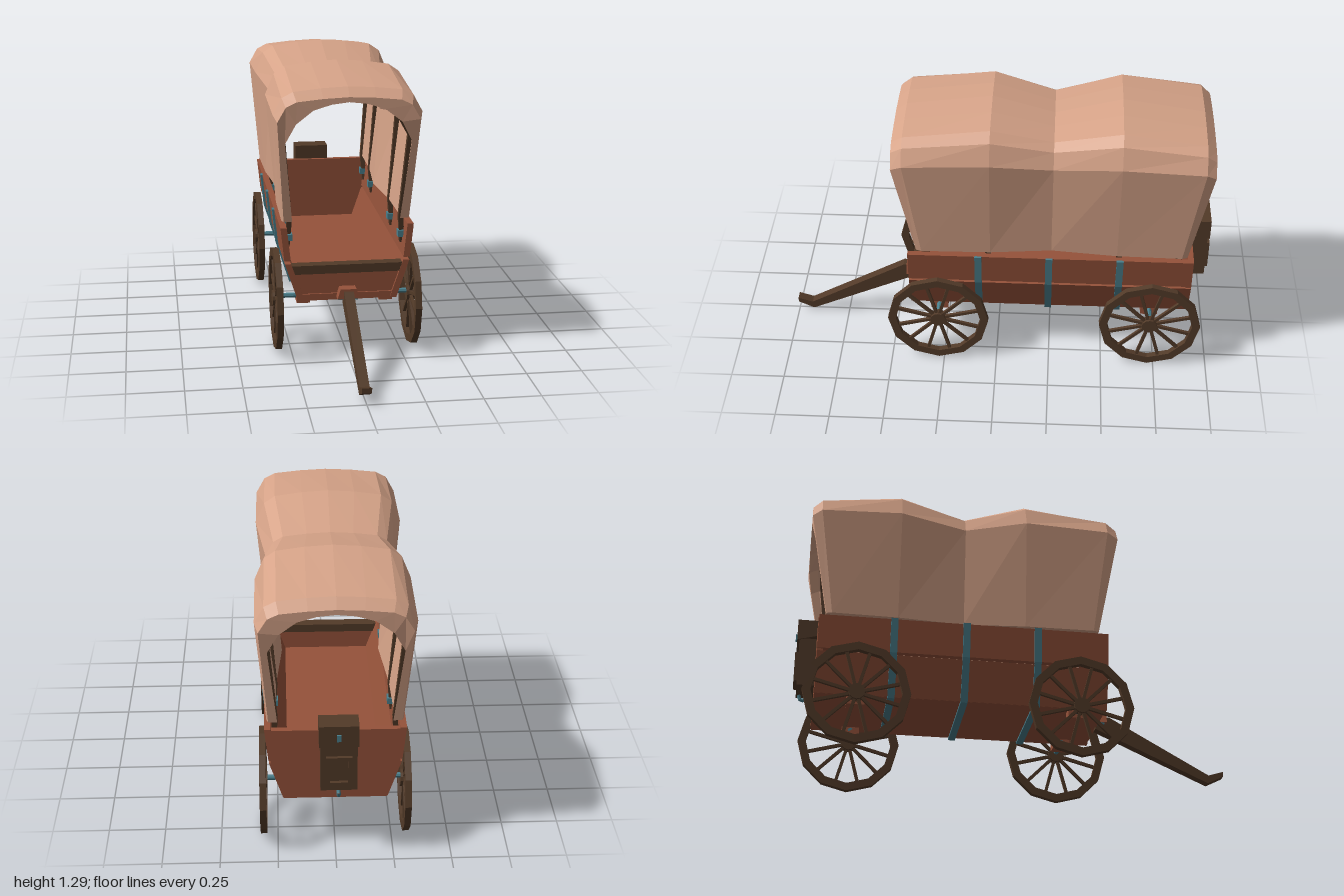
import * as THREE from 'three';

const mat = (color) => new THREE.MeshStandardMaterial({ color, flatShading: true });
const CANVAS = mat(0xd6a388), WOOD = mat(0x95523a), DARK = mat(0x523a28), TEAL = mat(0x4a7f8c);

export function createModel() {
  const root = new THREE.Group();

  const add = (name, geo, material, parent = root) => {
    const m = new THREE.Mesh(geo, material);
    m.name = name;
    parent.add(m);
    return m;
  };
  const box = (name, x0, x1, y0, y1, z0, z1, material, parent) => {
    const g = new THREE.BoxGeometry(x1 - x0, y1 - y0, z1 - z0);
    g.translate((x0 + x1) / 2, (y0 + y1) / 2, (z0 + z1) / 2);
    return add(name, g, material, parent);
  };
  // Extrude an x-y outline from z0 to z1
  const prism = (pts, z0, z1) => {
    const shape = new THREE.Shape(pts.map((p) => new THREE.Vector2(p[0], p[1])));
    return new THREE.ExtrudeGeometry(shape, { depth: z1 - z0, bevelEnabled: false }).translate(0, 0, z0);
  };
  // Mirror a half path (+x end first) into a full path running to -x
  const mirror = (half) => {
    const full = half.map((p) => [...p]);
    const onAxis = Math.abs(half[half.length - 1][0]) < 1e-6;
    for (let i = half.length - (onAxis ? 2 : 1); i >= 0; i--) full.push([-half[i][0], half[i][1]]);
    return full;
  };
  // Closed strip between two mirrored half paths
  const band = (outer, inner, z0, z1) => prism([...mirror(outer), ...mirror(inner).reverse()], z0, z1);

  // Side planks: upright upper board, sloped lower board
  for (const s of [1, -1]) {
    const flip = (pts) => pts.map(([x, y]) => [s * x, y]);
    add('upperSidePlank', prism(flip([[0.3, 0.61], [0.272, 0.61], [0.255, 0.455], [0.284, 0.455]]), -0.9, 0.41), WOOD);
    add('lowerSidePlank', prism(flip([[0.282, 0.442], [0.254, 0.442], [0.195, 0.27], [0.224, 0.265]]), -0.9, 0.41), WOOD);
  }

  // Floor, end boards and seat
  const across = (x0, y0, x1, y1) => [[-x0, y0], [x0, y0], [x1, y1], [-x1, y1]];
  add('floor', prism(across(0.22, 0.265, 0.225, 0.295), -0.89, 0.405), WOOD);
  add('frontBoard', prism(across(0.21, 0.29, 0.245, 0.4), 0.37, 0.397), WOOD);
  add('tailgate', prism([...mirror([[0.22, 0.265], [0.275, 0.44], [0.282, 0.605]])], -0.902, -0.875), WOOD);
  box('seatBoard', -0.255, 0.255, 0.39, 0.43, 0.355, 0.408, DARK);

  // Metal straps wrapped under the body
  for (const z of [0.085, -0.24, -0.565]) {
    add('bodyStrap', band([[0.31, 0.612], [0.294, 0.45], [0.232, 0.256]],
      [[0.298, 0.612], [0.281, 0.45], [0.222, 0.266]], z - 0.016, z + 0.016), TEAL);
  }

  // Canvas cover: sections given from front to back
  const BASE = 0.627;
  const rings = [
    { zb: 0.37, zt: 0.465, xb: 0.282, xs: 0.315, ys: 1.1, top: 1.205 },
    { zb: 0.345, zt: 0.415, xb: 0.29, xs: 0.33, ys: 1.125, top: 1.243 },
    { zb: 0.03, zt: 0.03, xb: 0.285, xs: 0.33, ys: 1.14, top: 1.295 },
    { zb: -0.25, zt: -0.25, xb: 0.258, xs: 0.285, ys: 1.1, top: 1.215 },
    { zb: -0.55, zt: -0.55, xb: 0.285, xs: 0.33, ys: 1.14, top: 1.295 },
    { zb: -0.845, zt: -0.915, xb: 0.29, xs: 0.33, ys: 1.125, top: 1.24 },
    { zb: -0.87, zt: -0.957, xb: 0.282, xs: 0.315, ys: 1.1, top: 1.2 },
  ];
  const outerHalf = ({ xb, xs, ys, top }) => {
    const h = top - ys;
    return [[xb, BASE], [xs, ys], [xs * 0.88, ys + h * 0.62], [xs * 0.73, ys + h * 0.84], [xs * 0.36, ys + h * 0.95], [0, top]];
  };
  const innerHalf = ({ xb, xs, ys, top }) => {
    const h = top - ys;
    return [[xb - 0.038, BASE], [xs - 0.035, ys - 0.1], [xs * 0.74, ys - 0.01], [xs * 0.5, ys + h * 0.47], [xs * 0.25, ys + h * 0.7], [0, top - 0.022]];
  };
  const loops = rings.map((r) => [...mirror(outerHalf(r)), ...mirror(innerHalf(r)).reverse()].map(([x, y]) => {
    const t = Math.min(1, (y - BASE) / (r.ys - BASE));
    return [x, y, r.zb + (r.zt - r.zb) * t];
  }));
  const n = loops[0].length, verts = [];
  const quad = (a, b, c, d) => verts.push(...a, ...b, ...c, ...a, ...c, ...d);
  for (let i = 0; i < loops.length - 1; i++) {
    for (let j = 0; j < n; j++) {
      const k = (j + 1) % n;
      quad(loops[i][j], loops[i + 1][j], loops[i + 1][k], loops[i][k]);
    }
  }
  const first = loops[0], last = loops[loops.length - 1];
  for (let j = 0; j < n / 2 - 1; j++) {
    quad(first[j], first[j + 1], first[n - 2 - j], first[n - 1 - j]);
    quad(last[j], last[n - 1 - j], last[n - 2 - j], last[j + 1]);
  }
  const cover = new THREE.BufferGeometry();
  cover.setAttribute('position', new THREE.Float32BufferAttribute(verts, 3));
  cover.computeVertexNormals();
  add('canvasCover', cover, CANVAS);

  // Wooden bows under the cover, the end ones leaning outwards
  for (const [z, lean, ring] of [[0.325, 0.11, 1], [0.04, 0, 2], [-0.56, 0, 4], [-0.835, -0.11, 5]]) {
    const half = innerHalf(rings[ring]);
    half[0] = [0.252, BASE];
    const outer = [[0.262, 0.5], ...half].map(([x, y], i) => (i < 2 ? [x + 0.012, y] : [x, y + 0.004]));
    const inner = outer.map(([x, y], i) => [Math.max(0, x - 0.022), i < 2 ? y : y - 0.018]);
    const g = band(outer, inner, z - 0.013, z + 0.013);
    const p = g.attributes.position;
    for (let i = 0; i < p.count; i++) p.setZ(i, p.getZ(i) + lean * (p.getY(i) - 0.6));
    add('coverBow', g, DARK);
    for (const s of [1, -1]) {
      const c = box('bowClamp', -0.017, 0.017, 0.53, 0.56, z - 0.021, z + 0.021, TEAL);
      c.position.x = s * 0.257;
    }
  }

  // Wheels: twelve-sided rim, spokes, hub
  const wheel = (x, z) => {
    const g = new THREE.Group();
    g.name = 'wheel';
    const profile = [[0.2, -0.014], [0.237, -0.014], [0.237, 0.014], [0.2, 0.014], [0.2, -0.014]];
    const rim = new THREE.LatheGeometry(profile.map((p) => new THREE.Vector2(...p)), 12);
    add('rim', rim.rotateZ(Math.PI / 2), DARK, g);
    add('hub', new THREE.CylinderGeometry(0.036, 0.036, 0.036, 12).rotateZ(Math.PI / 2), DARK, g);
    for (let i = 0; i < 12; i++) {
      const spoke = new THREE.BoxGeometry(0.014, 0.18, 0.014).translate(0, 0.115, 0);
      add('spoke', spoke.rotateX((i + 0.5) * Math.PI / 6), DARK, g);
    }
    g.position.set(x, 0.24, z);
    root.add(g);
  };
  for (const z of [0.275, -0.72]) {
    for (const s of [1, -1]) {
      wheel(s * 0.311, z);
      const block = box('axleBlock', -0.03, 0.03, 0.223, 0.268, z - 0.04, z + 0.04, WOOD);
      block.position.x = s * 0.19;
      const axle = new THREE.CylinderGeometry(0.012, 0.012, 0.15, 8).rotateZ(Math.PI / 2);
      add('axle', axle, TEAL).position.set(s * 0.235, 0.25, z);
    }
  }

  // Tongue with upturned tip, and its hitch
  const tongue = prism([[0.4, 0.255], [0.46, 0.228], [0.925, 0.018], [1, 0.055], [1, 0.078], [0.93, 0.056], [0.465, 0.316], [0.4, 0.316]], -0.022, 0.022);
  add('tongue', tongue.rotateY(-Math.PI / 2), DARK);
  add('hitch', prism(across(0.05, 0.28, 0.036, 0.326), 0.39, 0.45), WOOD);
  box('hitchPin', -0.045, 0.045, 0.273, 0.283, 0.41, 0.44, TEAL);

  // Toolbox hung on the tailgate
  const chest = new THREE.Group();
  chest.name = 'toolbox';
  chest.position.x = -0.011;
  root.add(chest);
  box('chestBody', -0.078, 0.078, 0.355, 0.585, -0.98, -0.895, DARK, chest);
  const lid = prism([[-0.895, 0.675], [-0.895, 0.6], [-0.99, 0.575], [-0.99, 0.675]], -0.084, 0.084);
  add('chestLid', lid.rotateY(-Math.PI / 2), DARK, chest);
  const frame = new THREE.Shape([[-0.055, 0.385], [0.055, 0.385], [0.055, 0.525], [-0.055, 0.525]].map((p) => new THREE.Vector2(...p)));
  frame.holes.push(new THREE.Path([[-0.038, 0.402], [-0.038, 0.508], [0.038, 0.508], [0.038, 0.402]].map((p) => new THREE.Vector2(...p))));
  add('chestFrame', new THREE.ExtrudeGeometry(frame, { depth: 0.016, bevelEnabled: false }).translate(0, 0, -0.995), DARK, chest);
  box('chestLatch', -0.01, 0.01, 0.605, 0.635, -0.997, -0.985, TEAL, chest);
  const hook = new THREE.CatmullRomCurve3([[0, 0.36, -0.93], [0, 0.325, -0.935], [0, 0.31, -0.955], [0, 0.335, -0.968]].map((p) => new THREE.Vector3(...p)));
  add('chestHook', new THREE.TubeGeometry(hook, 8, 0.009, 6), TEAL, chest);

  return root;
}
